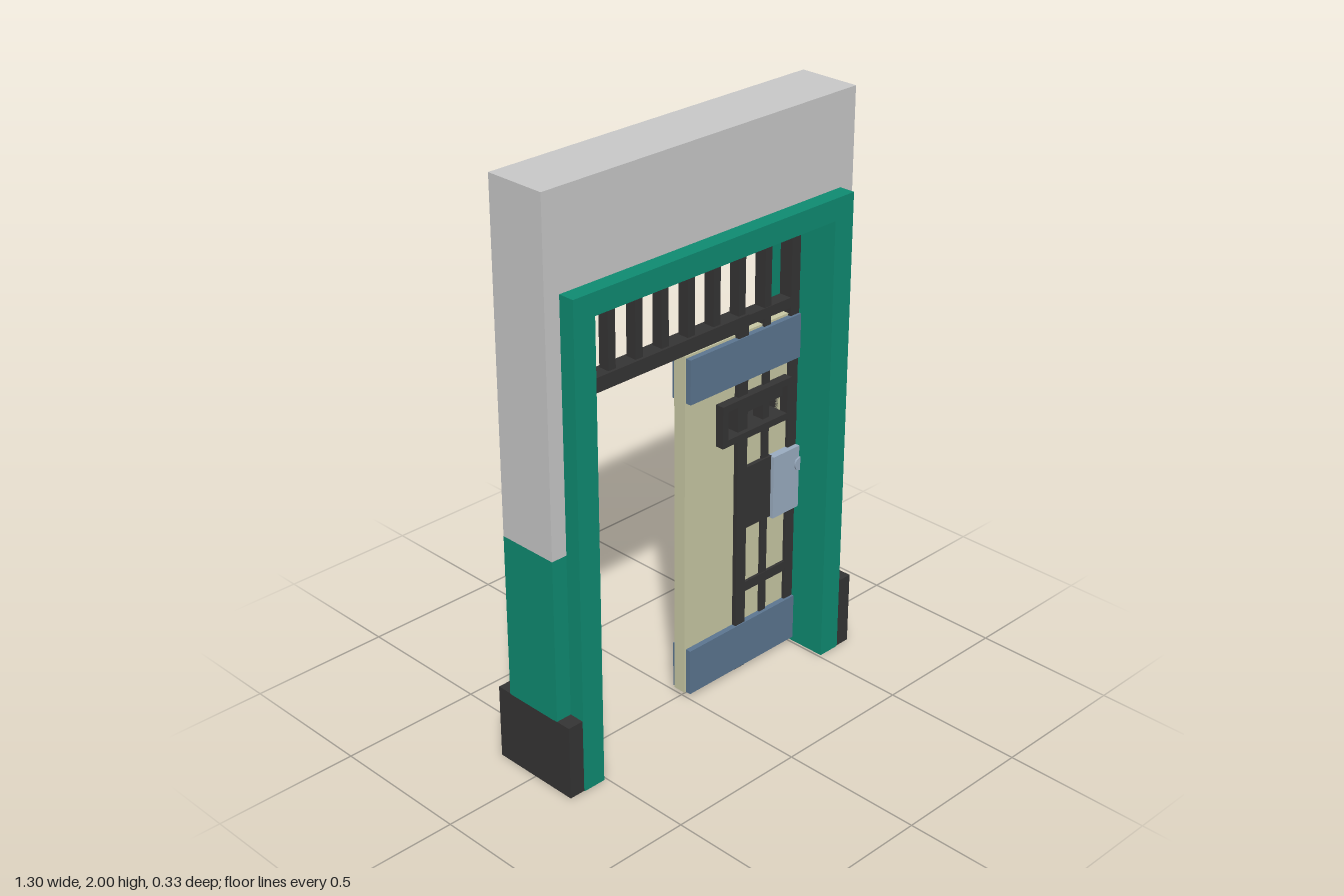
import * as THREE from 'three';

const mat = (name, color) => {
  const m = new THREE.MeshStandardMaterial({ color });
  m.name = name;
  return m;
};

export function createModel() {
  const root = new THREE.Group();
  const grey = mat('wall grey', 0xc9c9c9);
  const teal = mat('teal paint', 0x0f8b72);
  const dark = mat('dark iron', 0x353434);
  const cream = mat('cream panel', 0xc9c9a4);
  const blue = mat('blue strip', 0x5c7691);
  const pale = mat('pale lock steel', 0x9badc1);

  const group = (name) => {
    const g = new THREE.Group();
    g.name = name;
    root.add(g);
    return g;
  };
  // Box given by its two extents along each axis
  const box = (parent, name, m, x0, x1, y0, y1, z0, z1) => {
    const mesh = new THREE.Mesh(new THREE.BoxGeometry(x1 - x0, y1 - y0, z1 - z0), m);
    mesh.position.set((x0 + x1) / 2, (y0 + y1) / 2, (z0 + z1) / 2);
    mesh.name = name;
    parent.add(mesh);
    return mesh;
  };
  const rect = (target, x0, x1, y0, y1) => target
    .moveTo(x0, y0).lineTo(x1, y0).lineTo(x1, y1).lineTo(x0, y1).closePath();
  // Flat extrusion between two depths
  const slab = (parent, name, m, shape, z0, z1) => {
    const geo = new THREE.ExtrudeGeometry(shape, { depth: z1 - z0, bevelEnabled: false });
    geo.translate(0, 0, z0);
    const mesh = new THREE.Mesh(geo, m);
    mesh.name = name;
    parent.add(mesh);
    return mesh;
  };
  // Upside-down U outline
  const arch = (out, inn, bottom, top, innTop) => new THREE.Shape()
    .moveTo(-out, bottom).lineTo(-inn, bottom).lineTo(-inn, innTop).lineTo(inn, innTop)
    .lineTo(inn, bottom).lineTo(out, bottom).lineTo(out, top).lineTo(-out, top).closePath();

  // Wall, painted dado and skirting
  const wall = group('wall');
  slab(wall, 'upperWall', grey, arch(0.65, 0.57, 0.832, 2, 1.64), -0.11, 0.11);
  for (const s of [-1, 1]) {
    const a = s < 0 ? -0.65 : 0.57;
    box(wall, 'lowerWall', teal, a, a + 0.08, 0.26, 0.832, -0.11, 0.11);
    const b = s < 0 ? -0.65 : 0.585;
    box(wall, 'skirting', dark, b, b + 0.065, 0, 0.262, -0.164, 0.164);
  }

  // Door surround
  slab(root, 'doorFrame', teal, arch(0.593, 0.51, 0, 1.68, 1.605), -0.167, 0.167);

  // Iron grille
  const grille = group('grille');
  box(grille, 'topRail', dark, -0.51, 0.51, 1.572, 1.602, -0.025, 0.025);
  box(grille, 'lintelBar', dark, -0.445, 0.27, 1.27, 1.32, -0.03, 0.03);
  box(grille, 'leftPost', dark, -0.445, -0.4, 0.01, 1.27, -0.03, 0.03);
  box(grille, 'rightPost', dark, 0.225, 0.27, 0.01, 1.27, -0.03, 0.03);
  for (const x of [-0.413, -0.312, -0.2, -0.09, 0.022, 0.135, 0.248]) {
    box(grille, 'upperBar', dark, x - 0.015, x + 0.015, 1.32, 1.572, -0.02, 0.02);
  }
  box(grille, 'middleBar', dark, 0.35, 0.38, 0.01, 1.572, -0.022, 0.022);
  box(grille, 'wallBar', dark, 0.47, 0.51, 0.01, 1.572, -0.025, 0.025);
  for (const y of [0.03, 0.315, 0.665, 0.99, 1.295]) {
    box(grille, 'wallPeg', dark, -0.51, -0.445, y - 0.018, y + 0.018, -0.024, 0.024);
    box(grille, 'crossBar', dark, 0.27, 0.47, y - 0.018, y + 0.018, -0.024, 0.024);
  }
  box(grille, 'lockBacking', dark, 0.262, 0.39, 0.545, 0.772, -0.02, 0.029);

  // Sliding door leaf with a window opening
  const door = group('slidingDoor');
  const win = [0.165, 0.44, 0.917, 1.018];
  const leaf = rect(new THREE.Shape(), 0, 0.51, 0.014, 1.256);
  leaf.holes.push(rect(new THREE.Path(), ...win));
  slab(door, 'doorPanel', cream, leaf, -0.033, 0.014);
  for (const [y0, y1] of [[0.015, 0.183], [1.093, 1.248]]) {
    box(door, 'frontStrip', blue, 0.006, 0.51, y0, y1, 0.012, 0.034);
    box(door, 'backStrip', blue, 0.006, 0.51, y0, y1, -0.046, -0.032);
  }
  const surround = rect(new THREE.Shape(), 0.14, 0.46, 0.893, 1.042);
  surround.holes.push(rect(new THREE.Path(), ...win));
  slab(door, 'windowSurround', dark, surround, -0.052, 0.046);

  // Lock case and round key plates
  box(door, 'lockCase', pale, 0.386, 0.51, 0.54, 0.77, -0.048, 0.042);
  for (const z of [-0.05, 0.044]) {
    const disc = new THREE.Mesh(new THREE.CylinderGeometry(0.025, 0.025, 0.008, 8), pale);
    disc.rotation.x = Math.PI / 2;
    disc.position.set(0.51, 0.705, z);
    disc.name = 'keyPlate';
    door.add(disc);
  }
  return root;
}
